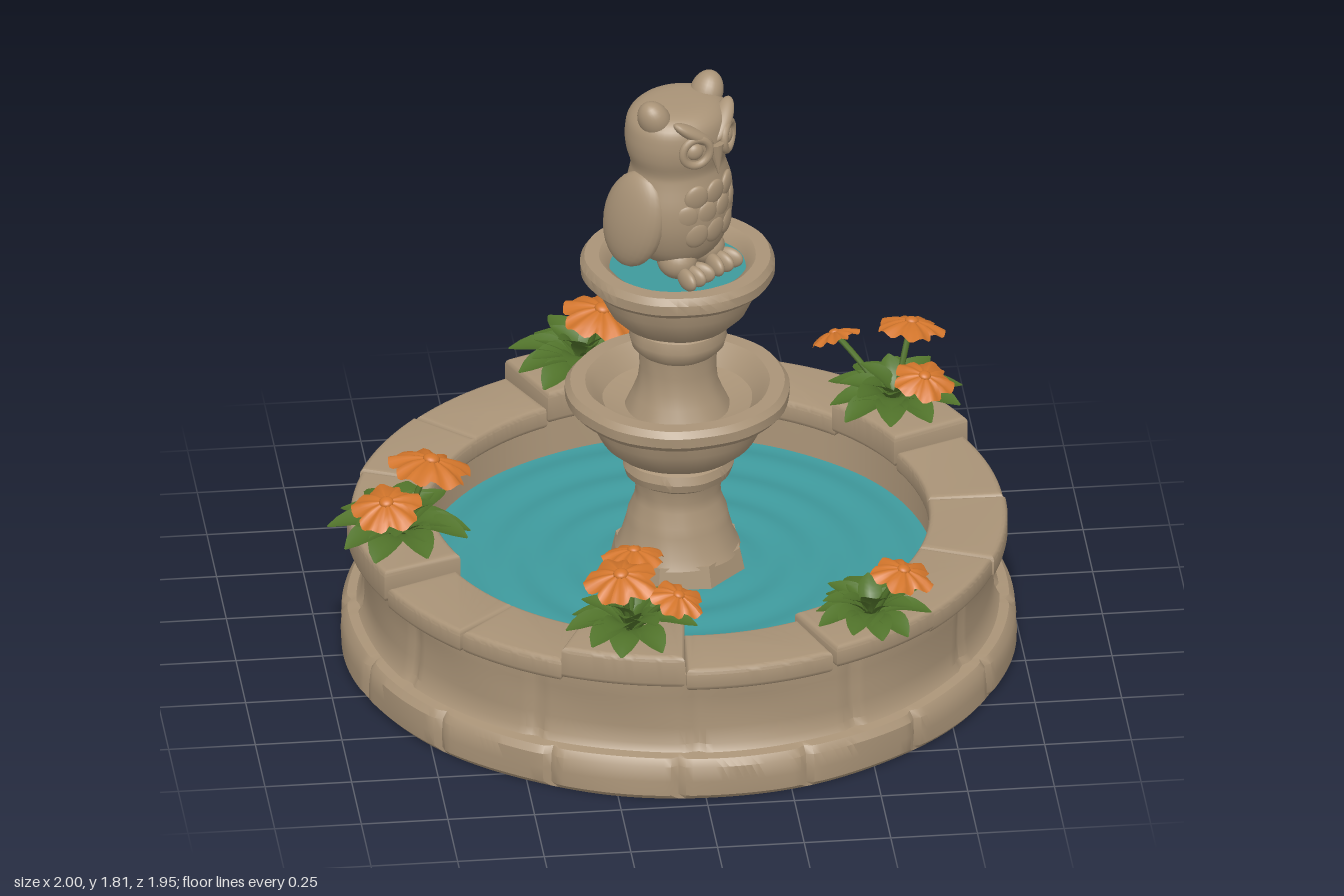
import * as THREE from 'three';
import { mergeGeometries, toCreasedNormals } from 'three/addons/utils/BufferGeometryUtils.js';

const CX = 0.025; // axis of the fountain
const DEG = Math.PI / 180;
const flat = (name, color, side = THREE.FrontSide) => {
  const m = new THREE.MeshStandardMaterial({ color, side });
  m.name = name;
  return m;
};

export function createModel() {
  const stone = flat('stone', 0xa99377);
  const water = flat('water', 0x3e999c);
  const leafGreen = flat('leaf green', 0x50722a, THREE.DoubleSide);
  const orange = flat('petal orange', 0xd2752b, THREE.DoubleSide);
  const model = new THREE.Group();
  model.name = 'fountain';

  const add = (parent, name, geo, mat, pos = [0, 0, 0], rot = [0, 0, 0], scale = [1, 1, 1]) => {
    const mesh = new THREE.Mesh(geo, mat);
    mesh.name = name;
    mesh.position.set(...pos);
    mesh.rotation.set(...rot);
    mesh.scale.set(...scale);
    parent.add(mesh);
    return mesh;
  };
  const warp = (geo, rule) => {
    const p = geo.attributes.position, v = new THREE.Vector3();
    for (let i = 0; i < p.count; i++) {
      rule(v.fromBufferAttribute(p, i));
      p.setXYZ(i, v.x, v.y, v.z);
    }
    geo.computeVertexNormals();
    return geo;
  };
  const lathe = (pts, segs = 56) => new THREE.LatheGeometry(pts.map(([r, y]) => new THREE.Vector2(r, y)), segs);
  // gentle hand-carved unevenness
  const carve = (geo, amount) => toCreasedNormals(warp(geo, v => {
    const a = Math.atan2(v.z, v.x);
    const k = 1 + amount * (Math.sin(5 * a + v.y * 13) + Math.sin(11 * a - v.y * 21) * 0.6);
    v.x *= k; v.z *= k;
  }), 0.6);

  // Basin: plinth, wall and pool lining, with grooves between the stones
  const basin = lathe([[0, 0], [0.955, 0], [0.968, 0.015], [0.97, 0.06], [0.966, 0.105], [0.95, 0.125], [0.922, 0.13],
    [0.908, 0.15], [0.904, 0.2], [0.903, 0.25], [0.905, 0.3], [0.912, 0.35], [0.91, 0.38], [0.74, 0.38], [0.73, 0.22], [0, 0.22]], 288);
  warp(basin, v => {
    const r = Math.hypot(v.x, v.z);
    if (r < 0.85 || v.y < 0.01) return;
    const a = Math.atan2(v.z, v.x) / DEG + 360;
    const step = v.y < 0.128 ? 22.5 : 30, shift = v.y < 0.128 ? 5 : 12;
    const d = Math.abs(((a + shift) % step) - step / 2);
    const k = 1 - 0.014 * Math.exp(-d * d / 0.8);
    v.x *= k; v.z *= k;
  });
  add(model, 'basin', carve(basin, 0.003), stone, [CX, 0, 0]);

  // Plants: centre angle, position and flowers as [x, y, z, radius]
  const plants = [
    { a: -104, pos: [-0.16, 0.45, -0.79], size: 1.02, flowers: [[-0.11, 0.68, -0.73, 0.12], [0.01, 0.59, -0.81, 0.08]] },
    { a: -34, pos: [0.7, 0.45, -0.46], size: 0.98, flowers: [[0.55, 0.6, -0.66, 0.075], [0.76, 0.69, -0.54, 0.1], [0.775, 0.62, -0.34, 0.09]] },
    { a: 57, pos: [0.5, 0.42, 0.73], size: 0.87, flowers: [[0.59, 0.61, 0.775, 0.095]] },
    { a: 106, pos: [-0.2, 0.45, 0.78], size: 0.95, flowers: [[-0.18, 0.68, 0.7, 0.095], [-0.235, 0.69, 0.855, 0.11], [-0.07, 0.62, 0.87, 0.085]] },
    { a: 169, pos: [-0.79, 0.45, 0.15], size: 1.02, flowers: [[-0.7, 0.69, 0.12, 0.125], [-0.845, 0.635, 0.26, 0.105]] },
  ];

  // Rim slabs: bevelled ring sectors, raised under each plant
  const slab = (a0, a1, r0, r1, y0, y1) => {
    const b = 0.016, g = 1.1 * DEG, s = new THREE.Shape();
    s.absarc(0, 0, r1 - b, a0 * DEG + g, a1 * DEG - g, false);
    s.absarc(0, 0, r0 + b, a1 * DEG - g, a0 * DEG + g, true);
    const geo = new THREE.ExtrudeGeometry(s, { depth: y1 - y0 - 2 * b, bevelSize: b, bevelThickness: b, bevelSegments: 3, curveSegments: 14 });
    geo.rotateX(Math.PI / 2);
    add(model, 'rimSlab', toCreasedNormals(geo, 0.6), stone, [CX, y1 - b, 0]);
  };
  const gaps = [2, 3, 1, 2, 3];
  plants.forEach((p, i) => {
    slab(p.a - 11, p.a + 11, 0.71, 0.955, 0.36, p.pos[1] + 0.01);
    const start = p.a + 11;
    const end = (i < 4 ? plants[i + 1].a : plants[0].a + 360) - 11;
    const step = (end - start) / gaps[i];
    for (let k = 0; k < gaps[i]; k++) slab(start + k * step, start + (k + 1) * step, 0.72, 0.94 + 0.006 * (k % 2), 0.34, 0.41);
  });

  // Pool water with ring ripples
  const ripples = [];
  for (let i = 0; i <= 48; i++) {
    const r = 0.74 * (1 - i / 48);
    ripples.push([r, 0.25 + 0.005 * Math.sin(r * 42)]);
  }
  add(model, 'poolWater', lathe(ripples, 72), water, [CX, 0, 0]);

  // Pedestals and bowls
  add(model, 'pedestalFoot', toCreasedNormals(new THREE.CylinderGeometry(0.185, 0.205, 0.09, 8), 0.3), stone, [CX, 0.275, 0], [0, Math.PI / 8, 0]);
  add(model, 'lowerPedestal', carve(lathe([[0.18, 0.31], [0.165, 0.34], [0.148, 0.4], [0.142, 0.43], [0.125, 0.47], [0.122, 0.5],
    [0.13, 0.54], [0.152, 0.555], [0.16, 0.58], [0.152, 0.605], [0.13, 0.615], [0.13, 0.65]]), 0.008), stone, [CX, 0, 0]);
  add(model, 'lowerBowl', carve(lathe([[0, 0.615], [0.14, 0.615], [0.185, 0.635], [0.225, 0.67], [0.25, 0.72], [0.262, 0.772], [0.308, 0.778],
    [0.322, 0.795], [0.323, 0.825], [0.308, 0.843], [0.265, 0.843], [0.245, 0.825], [0.215, 0.785], [0.15, 0.765], [0, 0.765]]), 0.006), stone, [CX, 0, 0]);
  add(model, 'upperPedestal', carve(lathe([[0.15, 0.765], [0.13, 0.81], [0.115, 0.85], [0.11, 0.9], [0.112, 0.95],
    [0.132, 0.97], [0.14, 1], [0.133, 1.03], [0.115, 1.04], [0.115, 1.07]]), 0.008), stone, [CX, 0, 0]);
  add(model, 'upperBowl', carve(lathe([[0, 1.035], [0.12, 1.035], [0.165, 1.055], [0.2, 1.09], [0.225, 1.14], [0.235, 1.187], [0.265, 1.19],
    [0.279, 1.205], [0.28, 1.235], [0.267, 1.255], [0.225, 1.255], [0.205, 1.24], [0.19, 1.2], [0, 1.19]]), 0.006), stone, [CX, 0, 0]);
  add(model, 'bowlWater', new THREE.CircleGeometry(0.2, 40), water, [CX, 1.215, 0], [-Math.PI / 2, 0, 0]);

  // Owl statue
  const owl = new THREE.Group();
  owl.name = 'owlStatue';
  owl.position.set(CX, 1.22, 0);
  owl.rotation.y = 42 * DEG;
  model.add(owl);
  const ball = new THREE.SphereGeometry(1, 24, 16);
  const outline = new THREE.SplineCurve([[0, 0.035], [0.08, 0.045], [0.135, 0.09], [0.165, 0.17], [0.168, 0.25], [0.15, 0.325], [0.146, 0.36],
    [0.16, 0.41], [0.163, 0.46], [0.15, 0.51], [0.1, 0.54], [0, 0.545]].map(p => new THREE.Vector2(...p)));
  const body = lathe(outline.getPoints(44).map(p => [Math.max(p.x, 0), p.y]), 48);
  add(owl, 'owlBody', body, stone, [0, 0, 0], [0, 0, 0], [1, 1, 0.88]);
  add(owl, 'tail', ball, stone, [0, 0.12, -0.11], [0.35, 0, 0], [0.07, 0.11, 0.045]);
  add(owl, 'beak', new THREE.ConeGeometry(0.026, 0.1, 12), stone, [0, 0.4, 0.15], [Math.PI - 0.15, 0, 0]);
  for (const s of [-1, 1]) {
    add(owl, 'wing', ball, stone, [s * 0.148, 0.2, -0.035], [0.22, 0, s * 0.1], [0.052, 0.155, 0.105]);
    add(owl, 'earTuft', ball, stone, [s * 0.112, 0.525, 0.01], [0, 0, -s * 0.45], [0.045, 0.065, 0.05]);
    add(owl, 'brow', ball, stone, [s * 0.062, 0.495, 0.115], [0, s * 0.4, s * 0.62], [0.075, 0.02, 0.03]);
    add(owl, 'eyeRing', new THREE.TorusGeometry(0.042, 0.012, 10, 28), stone, [s * 0.068, 0.445, 0.132], [0, s * 0.45, 0]);
    add(owl, 'eye', ball, stone, [s * 0.068, 0.445, 0.125], [0, s * 0.45, 0], [0.026, 0.026, 0.018]);
    add(owl, 'leg', ball, stone, [s * 0.06, 0.06, 0.05], [0, 0, 0], [0.055, 0.055, 0.06]);
    for (const t of [-1, 0, 1])
      add(owl, 'toe', ball, stone, [s * 0.06 + t * 0.03, 0.03, 0.115], [0, t * 0.3, 0], [0.019, 0.032, 0.045]);
  }
  // overlapping chest feathers
  [[0.29, 3], [0.23, 4], [0.17, 3]].forEach(([y, n]) => {
    for (let i = 0; i < n; i++) {
      const a = (i - (n - 1) / 2) * 0.42;
      add(owl, 'chestFeather', ball, stone, [Math.sin(a) * 0.155, y, Math.cos(a) * 0.139], [0.12, a, 0], [0.037, 0.042, 0.014]);
    }
  });

  // Leaf: cupped oval growing along +z
  const leaf = (len, width, yaw, pitch) => {
    const g = warp(new THREE.PlaneGeometry(1, 1, 4, 8), v => {
      const t = v.y + 0.5, side = v.x * 2;
      const half = width / 2 * Math.pow(Math.sin(Math.PI * (0.04 + 0.95 * Math.pow(t, 1.25))), 0.75);
      v.set(side * half, 0.016 * side * side * Math.sin(Math.PI * t) + 0.05 * Math.sin(t * Math.PI) * len * 3, t * len);
    });
    return g.rotateX(-pitch).rotateY(yaw);
  };
  // Flower: five ruffled petals facing up
  const petals = warp(new THREE.RingGeometry(0.001, 1, 50, 4), v => {
    const r = Math.hypot(v.x, v.y), a = Math.atan2(v.y, v.x);
    const k = 1 - r * 0.26 * (1 - Math.pow(Math.abs(Math.cos(2.5 * a)), 0.6));
    v.set(v.x * k, v.y * k, -0.28 * r * r + 0.07 * r * Math.sin(10 * a + 0.6));
  }).rotateX(-Math.PI / 2);

  const up = new THREE.Vector3(0, 1, 0);
  plants.forEach((p, n) => {
    const plant = new THREE.Group();
    plant.name = 'floweringPlant';
    model.add(plant);
    const leaves = [];
    [[10, 0.2, 0.1, 0.12], [8, 0.175, 0.092, 0.42], [6, 0.15, 0.08, 0.8]].forEach(([count, len, width, pitch], tier) => {
      for (let i = 0; i < count; i++) {
        const vary = Math.sin(i * 4.7 + n * 2.3 + tier);
        leaves.push(leaf(len * (1 + 0.08 * vary), width, (i + tier * 0.5 + 0.2 * vary) / count * Math.PI * 2 + n, pitch + 0.1 * vary));
      }
    });
    add(plant, 'leaves', mergeGeometries(leaves), leafGreen, [p.pos[0], p.pos[1] + 0.015, p.pos[2]], [0, 0, 0], [p.size, p.size, p.size]);
    p.flowers.forEach(([x, y, z, r], i) => {
      const root = new THREE.Vector3(...p.pos), head = new THREE.Vector3(x, y, z);
      const mid = root.clone().lerp(head, 0.5).add(new THREE.Vector3(0, 0.03, 0));
      add(plant, 'stem', new THREE.TubeGeometry(new THREE.QuadraticBezierCurve3(root, mid, head), 8, 0.009, 6), leafGreen);
      const facing = new THREE.Vector3((x - p.pos[0]) * 2, 1, (z - p.pos[2]) * 2).normalize();
      const flower = new THREE.Group();
      flower.name = 'flower';
      flower.position.copy(head);
      flower.quaternion.setFromUnitVectors(up, facing);
      plant.add(flower);
      add(flower, 'petals', petals, orange, [0, 0.005, 0], [0, i * 1.3 + n, 0], [r, r, r]);
      add(flower, 'flowerCentre', ball, orange, [0, 0.004, 0], [0, 0, 0], [r * 0.2, r * 0.12, r * 0.2]);
    });
  });
  return model;
}
